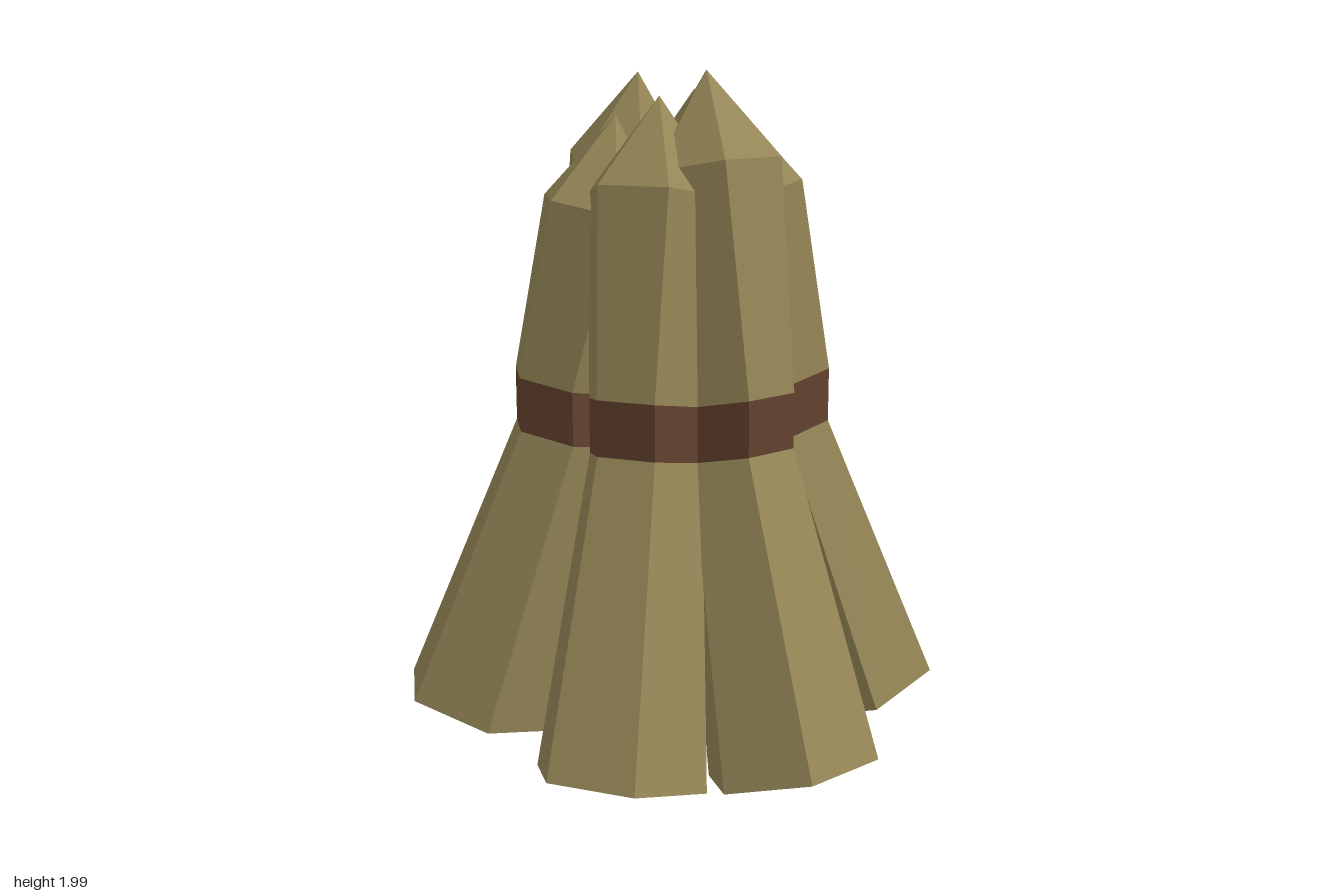
import * as THREE from 'three';

const straw = new THREE.MeshStandardMaterial({ color: 0x978858, flatShading: true });
straw.name = 'straw';
const twine = new THREE.MeshStandardMaterial({ color: 0x65432f, flatShading: true });
twine.name = 'twine brown';

// Hexagon tilted towards the middle, with a flat side facing outward
function ring(center, radius, phi, tilt) {
  const u = new THREE.Vector3(Math.cos(phi) * Math.cos(tilt), Math.sin(tilt), Math.sin(phi) * Math.cos(tilt));
  const v = new THREE.Vector3(-Math.sin(phi), 0, Math.cos(phi));
  return Array.from({ length: 6 }, (_, k) => {
    const a = (k + 0.5) * Math.PI / 3;
    return center.clone().addScaledVector(u, radius * Math.cos(a)).addScaledVector(v, radius * Math.sin(a));
  });
}

// Skin between successive rings, with optional closing points
function loft(name, material, rings, bottom, top) {
  const points = [];
  for (let k = 0; k < 6; k++) {
    const n = (k + 1) % 6;
    for (let i = 0; i + 1 < rings.length; i++) {
      const a = rings[i], b = rings[i + 1];
      points.push(a[k], b[k], a[n], a[n], b[k], b[n]);
    }
    if (bottom) points.push(bottom, rings[0][k], rings[0][n]);
    const last = rings[rings.length - 1];
    if (top) points.push(last[k], top, last[n]);
  }
  const geometry = new THREE.BufferGeometry().setFromPoints(points);
  geometry.computeVertexNormals();
  const mesh = new THREE.Mesh(geometry, material);
  mesh.name = name;
  return mesh;
}

// One tied sheaf: flared skirt, band and pointed head
function makeSheaf({ name, angle, base, tip }) {
  const phi = THREE.MathUtils.degToRad(angle);
  const foot = new THREE.Vector3(base[0], 0.075, base[1]);
  const peak = new THREE.Vector3(...tip);
  const shoulder = peak.clone().add(new THREE.Vector3(0.025 * Math.cos(phi), -0.27, 0.025 * Math.sin(phi)));
  const waist = foot.clone().lerp(shoulder, 0.68).setY(0.93);
  const waistTop = waist.clone().setY(1.09);

  const footRing = ring(foot, 0.255, phi, 0.295);
  const lowBand = ring(waist, 0.17, phi, 0.21);
  const highBand = ring(waistTop, 0.17, phi, 0.21);
  const shoulderRing = ring(shoulder, 0.207, phi, 0.21);

  const group = new THREE.Group();
  group.name = name;
  group.add(
    loft('skirt', straw, [footRing, lowBand], foot),
    loft('band', twine, [lowBand, highBand]),
    loft('head', straw, [highBand, shoulderRing], null, peak)
  );
  return group;
}

export function createModel() {
  const model = new THREE.Group();
  model.name = 'stookOfSheaves';
  const sheaves = [
    { name: 'leftSheaf', angle: 0, base: [0.6, 0.09], tip: [0.16, 2.0, 0.04] },
    { name: 'frontLeftSheaf', angle: 60, base: [0.345, 0.505], tip: [0.1, 1.93, 0.16] },
    { name: 'frontRightSheaf', angle: 120, base: [-0.36, 0.5], tip: [-0.1, 1.87, 0.16] },
    { name: 'rightSheaf', angle: 180, base: [-0.6, 0.055], tip: [-0.16, 1.99, 0.03] },
    { name: 'backRightSheaf', angle: 240, base: [-0.3, -0.49], tip: [-0.08, 1.94, -0.12] },
    { name: 'backLeftSheaf', angle: 300, base: [0.26, -0.51], tip: [0.07, 1.92, -0.12] }
  ];
  for (const s of sheaves) model.add(makeSheaf(s));
  return model;
}
